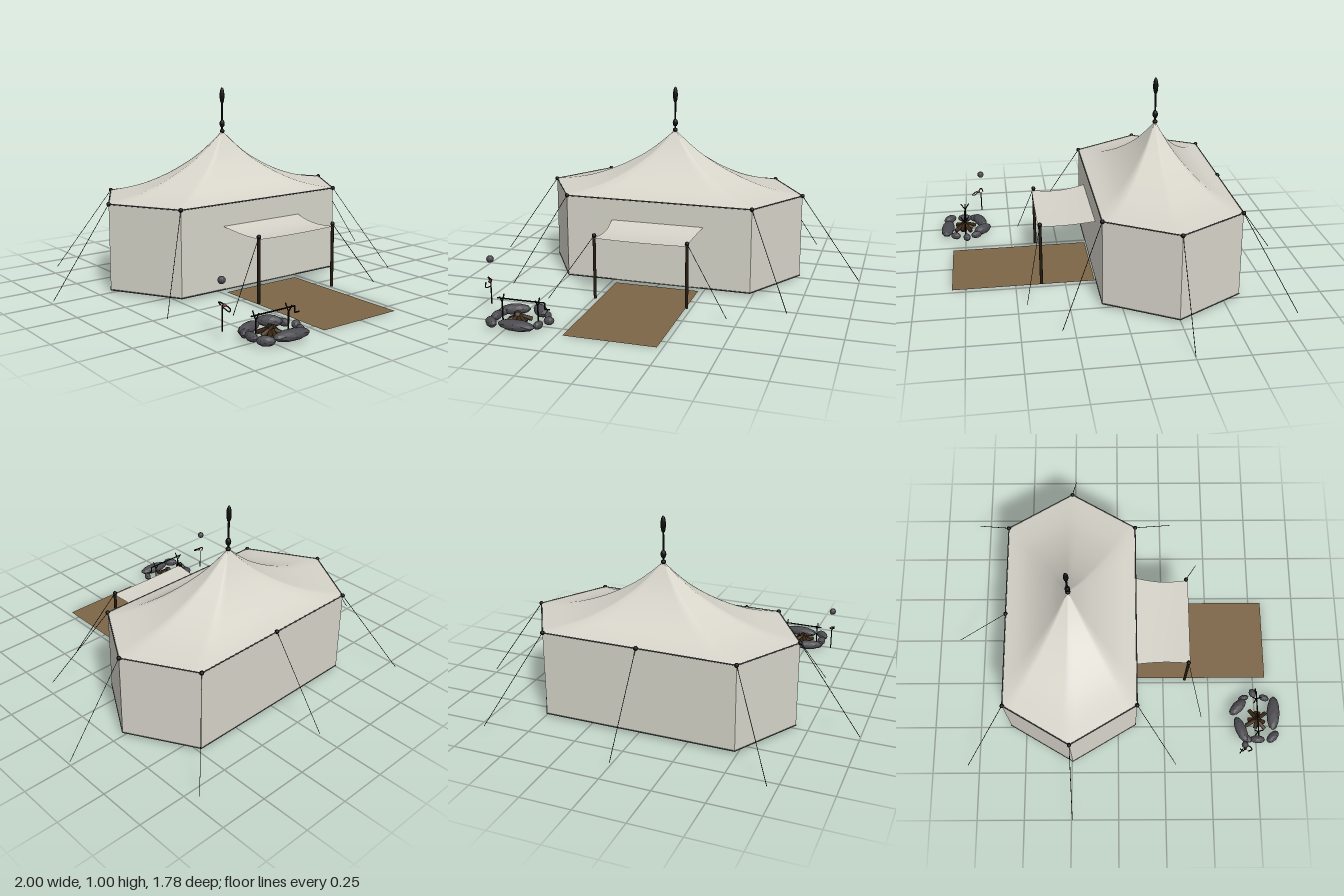
import * as THREE from 'three';

const mat = (name, color, side = THREE.FrontSide) => {
  const m = new THREE.MeshStandardMaterial({ color, side });
  m.name = name;
  return m;
};
const V = (x, y, z) => new THREE.Vector3(x, y, z);

export function createModel() {
  const model = new THREE.Group();
  model.name = 'pavilionCamp';

  const canvas = mat('canvas', 0xd6d4c9, THREE.DoubleSide);
  const black = mat('black iron', 0x0c0c0c);
  const darkWood = mat('dark wood', 0x241b10);
  const logWood = mat('log wood', 0x3a2814);
  const rugBrown = mat('brown rug', 0x7d6648, THREE.DoubleSide);
  const floorRed = mat('red floor', 0x88554d);
  const groundsheet = mat('groundsheet', 0x77777a, THREE.DoubleSide);
  const trim = mat('trim', 0x4a4a48);
  const stone = mat('stone', 0x4b4b50);
  stone.flatShading = true;
  const meat = mat('meat', 0x7a3428);

  const add = (name, geo, material, parent = model) => {
    const m = new THREE.Mesh(geo, material);
    m.name = name;
    parent.add(m);
    return m;
  };
  // Straight round bar between two points
  const bar = (name, a, b, r, material, parent = model, sides = 6) => {
    const d = b.clone().sub(a);
    const m = add(name, new THREE.CylinderGeometry(r, r, d.length(), sides), material, parent);
    m.position.copy(a).addScaledVector(d, 0.5);
    m.quaternion.setFromUnitVectors(V(0, 1, 0), d.normalize());
    return m;
  };
  const ball = (name, p, rx, ry, material = black, parent = model) => {
    const m = add(name, new THREE.SphereGeometry(1, 14, 10), material, parent);
    m.position.copy(p);
    m.scale.set(rx, ry, rx);
    return m;
  };

  // Six-sided plan of the tent, starting at the front left corner
  const CZ = -0.245, BASE = 0.02, EAVE = 0.455;
  const plan = [[0.49, 0.34], [0.69, 0], [0.49, -0.34], [-0.49, -0.34], [-0.69, 0], [-0.49, 0.34]];
  const corner = (i, y) => V(plan[i % 6][0], y, CZ + plan[i % 6][1]);

  // Walls, with a doorway in the front one
  for (let i = 0; i < 6; i++) {
    const a = corner(i, BASE), b = corner(i + 1, BASE), mid = a.clone().add(b).multiplyScalar(0.5);
    const w = a.distanceTo(b), h = EAVE - BASE;
    const s = new THREE.Shape([[-w / 2, 0], [w / 2, 0], [w / 2, h], [-w / 2, h]].map(p => new THREE.Vector2(...p)));
    if (i === 5) {
      s.setFromPoints([[-w / 2, 0], [-0.23, 0], [-0.23, 0.31], [0.23, 0.31], [0.23, 0], [w / 2, 0], [w / 2, h], [-w / 2, h]]
        .map(p => new THREE.Vector2(...p)));
    }
    const wall = add(i === 5 ? 'frontWall' : 'wall', new THREE.ShapeGeometry(s), canvas);
    wall.position.copy(mid);
    wall.rotation.y = Math.atan2(mid.x, mid.z - CZ);
    if (i === 1 || i === 0 || i === 3 || i === 4) { // slanted ends face along their own normal
      const d = b.clone().sub(a);
      wall.rotation.y = Math.atan2(-d.z, d.x) + Math.PI;
    }
    bar('eaveRail', corner(i, EAVE), corner(i + 1, EAVE), 0.003, trim);
    if (i !== 5) bar('baseRail', a, b, 0.003, trim);
  }
  for (const s of [-1, 1]) bar('baseRail', V(s * 0.49, BASE, 0.095), V(s * 0.23, BASE, 0.095), 0.003, trim);

  // Floor, red above and grey below
  const floorShape = new THREE.Shape(plan.map(([x, z]) => new THREE.Vector2(x, -z)));
  for (const [name, y, m] of [['floor', BASE, floorRed], ['groundsheet', BASE - 0.004, groundsheet]]) {
    const f = add(name, new THREE.ShapeGeometry(floorShape), m);
    f.rotation.x = -Math.PI / 2;
    f.position.set(0, y, CZ);
  }

  // Sagging roof: shrinking rings of the plan, rising to the peak
  const profile = new THREE.CatmullRomCurve3([[1, 0.455], [0.83, 0.473], [0.68, 0.497], [0.5, 0.542], [0.35, 0.592],
    [0.22, 0.645], [0.11, 0.703], [0.045, 0.742], [0.004, 0.767]].map(([t, y]) => V(t, y, 0)));
  const rings = 20, per = 8, n = 6 * per, pos = [], idx = [];
  for (let r = 0; r <= rings; r++) {
    const { x: t, y } = profile.getPoint(r / rings);
    for (let k = 0; k < n; k++) {
      const p = corner(Math.floor(k / per), 0).lerp(corner(Math.floor(k / per) + 1, 0), (k % per) / per);
      pos.push(p.x * t, y, CZ + (p.z - CZ) * t);
      if (r < rings) {
        const a = r * n + k, b = r * n + (k + 1) % n;
        idx.push(a, b, b + n, a, b + n, a + n);
      }
    }
  }
  const roofGeo = new THREE.BufferGeometry();
  roofGeo.setAttribute('position', new THREE.Float32BufferAttribute(pos, 3));
  roofGeo.setIndex(idx);
  roofGeo.computeVertexNormals();
  add('roof', roofGeo, canvas);

  // Centre pole and finial
  bar('centrePole', V(0, BASE, CZ), V(0, 0.76, CZ), 0.006, darkWood, model, 10);
  bar('finialRod', V(0, 0.75, CZ), V(0, 0.93, CZ), 0.005, black, model, 8);
  ball('finialCollar', V(0, 0.768, CZ), 0.013, 0.011);
  ball('finialKnob', V(0, 0.807, CZ), 0.014, 0.021);
  ball('finialTip', V(0, 0.955, CZ), 0.013, 0.044);

  // Corner knobs and guy ropes
  const guy = (a, b) => {
    ball('ropeKnob', a, 0.011, 0.011);
    bar('guyRope', a, b, 0.0016, black, model, 4);
  };
  for (const s of [-1, 1]) {
    guy(V(s * 0.69, EAVE, CZ), V(s, BASE, CZ));
    guy(V(s * 0.49, EAVE, -0.585), V(s * 0.71, BASE, -0.81));
    guy(V(s * 0.49, EAVE, 0.095), V(s * 0.71, BASE, 0.31));
    // Awning posts
    bar('awningPost', V(s * 0.235, 0.015, 0.37), V(s * 0.235, 0.345, 0.37), 0.008, darkWood, model, 8);
    guy(V(s * 0.235, 0.34, 0.37), V(s * 0.45, BASE, 0.455));
  }
  guy(V(0, EAVE, -0.585), V(0, BASE, -0.89));

  // Awning: a sagging sheet with drawn-in sides
  const awning = new THREE.PlaneGeometry(2, 1, 8, 12);
  const ap = awning.attributes.position;
  for (let i = 0; i < ap.count; i++) {
    const u = ap.getX(i), t = 0.5 - ap.getY(i);
    const sag = Math.sin(Math.PI * t);
    ap.setXYZ(i, u * (0.243 - 0.008 * t - 0.012 * sag), 0.343 - 0.018 * t - 0.012 * sag + 0.004 * u * u * t, 0.096 + 0.284 * t);
  }
  awning.computeVertexNormals();
  add('awning', awning, canvas);

  // Entrance rug
  const rug = add('entranceRug', new THREE.PlaneGeometry(0.445, 0.72), rugBrown);
  rug.rotation.x = -Math.PI / 2;
  rug.position.set(0, 0.003, 0.458);

  // Fire pit: ring of stones [x, z, half length, half width, height, turn]
  const pit = new THREE.Group();
  pit.name = 'firePit';
  model.add(pit);
  [[-0.525, 0.668, 0.075, 0.03, 0.026, 0.35], [-0.4, 0.655, 0.06, 0.03, 0.028, -0.8], [-0.347, 0.69, 0.03, 0.016, 0.02, -1.3],
    [-0.32, 0.742, 0.025, 0.02, 0.02, 0.3], [-0.347, 0.803, 0.028, 0.018, 0.02, 1.2], [-0.435, 0.848, 0.095, 0.036, 0.026, -0.08],
    [-0.565, 0.838, 0.042, 0.024, 0.024, -0.8], [-0.578, 0.755, 0.04, 0.022, 0.022, 1.5], [-0.572, 0.7, 0.03, 0.02, 0.02, 0.9],
  ].forEach(([x, z, l, w, h, turn]) => {
    const m = add('stone', new THREE.IcosahedronGeometry(1, 1), stone, pit);
    m.position.set(x, 0.012 + h, z);
    m.scale.set(l, h, w);
    m.rotation.y = turn;
  });
  for (let i = 0; i < 9; i++) {
    const a = i * 2.4, r = 0.045 + 0.02 * (i % 2), c = Math.cos(a), s = Math.sin(a);
    bar('log', V(-0.47 + c * r, 0.022, 0.755 + s * r), V(-0.47 - c * 0.015, 0.045 + 0.002 * i, 0.755 - s * 0.015), 0.011, logWood, pit);
  }

  // Cooking spit on forked sticks
  for (const x of [-0.55, -0.37]) {
    bar('spitStick', V(x, 0.015, 0.75), V(x, 0.1, 0.75), 0.0035, black, pit);
    for (const s of [-1, 1]) bar('spitFork', V(x, 0.1, 0.75), V(x, 0.135, 0.75 + s * 0.022), 0.003, black, pit);
  }
  const spit = [V(-0.575, 0.12, 0.75), V(-0.335, 0.12, 0.75), V(-0.335, 0.09, 0.75), V(-0.31, 0.09, 0.75)];
  for (let i = 0; i < 3; i++) bar('spit', spit[i], spit[i + 1], 0.0035, black, pit);

  // Hook stand beside the fire
  const stand = new THREE.Group();
  stand.name = 'hookStand';
  model.add(stand);
  bar('standPole', V(-0.655, 0.045, 0.655), V(-0.655, 0.16, 0.655), 0.003, black, stand);
  const hook = new THREE.CatmullRomCurve3([V(-0.655, 0.16, 0.642), V(-0.67, 0.178, 0.652), V(-0.65, 0.165, 0.67),
    V(-0.638, 0.15, 0.69), V(-0.655, 0.145, 0.705), V(-0.668, 0.16, 0.68)]);
  add('standHook', new THREE.TubeGeometry(hook, 24, 0.003, 6), black, stand);
  ball('meatPiece', V(-0.652, 0.163, 0.668), 0.009, 0.007, meat, stand);
  const top = add('hangingPot', new THREE.IcosahedronGeometry(0.018, 1), stone, stand);
  top.position.set(-0.655, 0.27, 0.652);

  return model;
}
